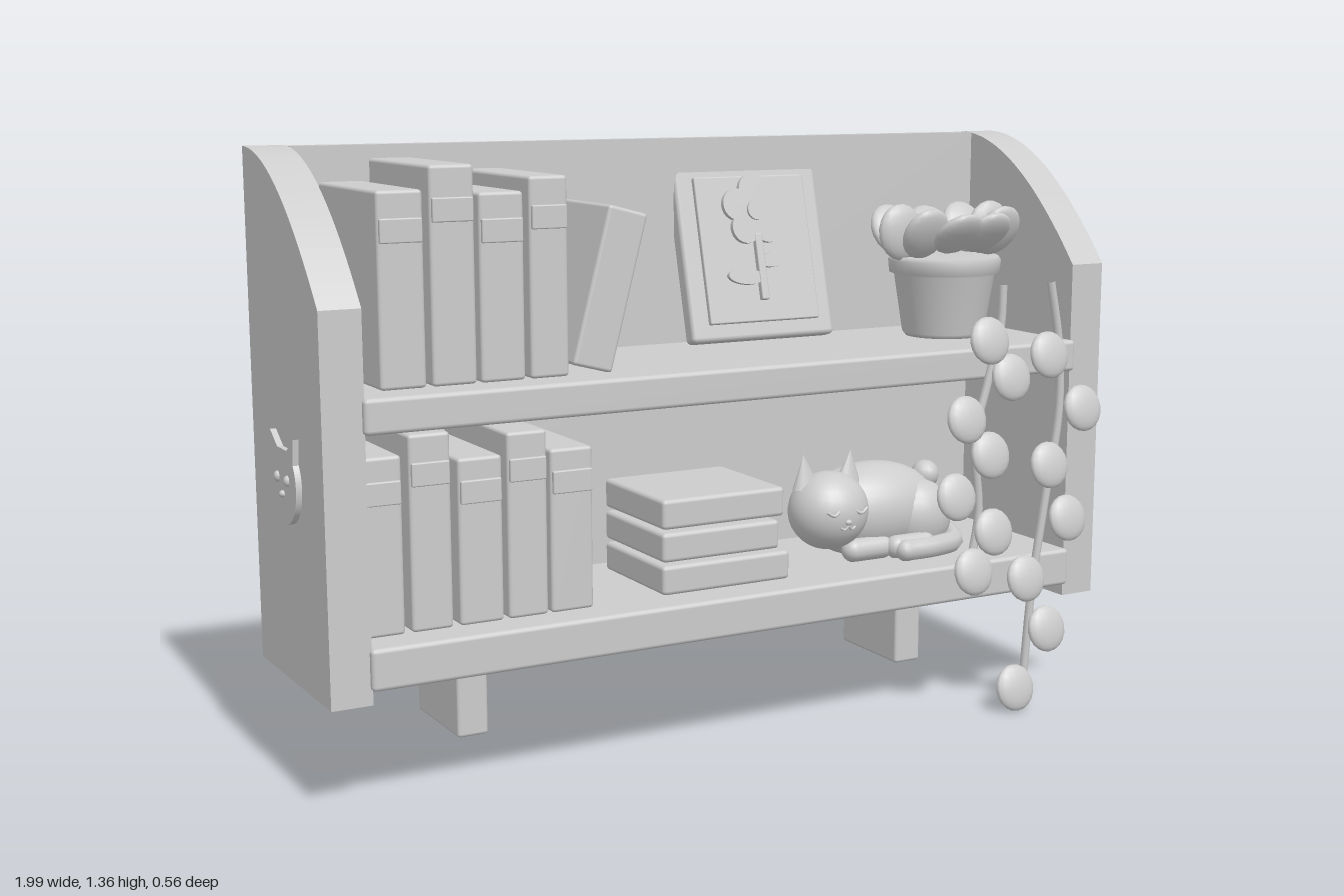
import * as THREE from 'three';
import { RoundedBoxGeometry } from 'three/addons/geometries/RoundedBoxGeometry.js';

export function createModel() {
  const root = new THREE.Group();
  const grey = new THREE.MeshStandardMaterial({ color: 0xcccccc });
  grey.name = 'plain grey';

  const add = (name, geo, parent = root, x = 0, y = 0, z = 0) => {
    const m = new THREE.Mesh(geo, grey);
    m.name = name;
    m.position.set(x, y, z);
    parent.add(m);
    return m;
  };
  const group = (name, parent = root) => {
    const g = new THREE.Group();
    g.name = name;
    parent.add(g);
    return g;
  };
  // rounded box given by its extents
  const box = (name, x0, x1, y0, y1, z0, z1, r = 0.008, parent = root) =>
    add(name, new RoundedBoxGeometry(x1 - x0, y1 - y0, z1 - z0, 2, r), parent,
      (x0 + x1) / 2, (y0 + y1) / 2, (z0 + z1) / 2);
  const blob = (name, parent, p, s, seg = 20) => {
    const m = add(name, new THREE.SphereGeometry(1, seg, Math.ceil(seg * 0.6)), parent, ...p);
    m.scale.set(...s);
    return m;
  };
  const tube = (name, parent, pts, r, seg = 32) =>
    add(name, new THREE.TubeGeometry(
      new THREE.CatmullRomCurve3(pts.map(p => new THREE.Vector3(...p))), seg, r, 8), parent);

  // side panels with a curved top front
  const side = new THREE.Shape();
  side.moveTo(-0.19, 0.25);
  side.lineTo(0.265, 0.25);
  side.lineTo(0.265, 1.368);
  side.quadraticCurveTo(0.05, 1.368, -0.19, 1.065);
  side.closePath();
  const sideGeo = new THREE.ExtrudeGeometry(side, { depth: 0.09, bevelEnabled: false, curveSegments: 24 });
  sideGeo.rotateY(Math.PI / 2);
  add('rightSidePanel', sideGeo, root, -0.97);
  add('leftSidePanel', sideGeo, root, 0.905);

  // back, shelves and legs
  add('backPanel', new THREE.BoxGeometry(1.785, 1.003, 0.04), root, 0.0125, 0.8655, -0.245);
  box('bottomShelf', -0.885, 0.91, 0.28, 0.37, -0.265, 0.205, 0.01);
  box('middleShelf', -0.885, 0.91, 0.81, 0.885, -0.24, 0.205, 0.01);
  for (const x of [-0.61, 0.558]) box('leg', x, x + 0.073, 0.07, 0.29, -0.262, -0.022);

  // upright books: left edge, width, top
  const bookRow = (y, books) => {
    for (const [x, w, top] of books) {
      const g = group('book');
      box('bookCover', x, x + w, y, top, -0.225, 0.125, 0.008, g);
      const ly = y + (top - y) * 0.8;
      box('spineLabel', x + 0.004, x + w - 0.004, ly - 0.025, ly + 0.025, 0.12, 0.132, 0.003, g);
    }
  };
  bookRow(0.885, [[-0.82, 0.1, 1.29], [-0.706, 0.098, 1.338], [-0.598, 0.1, 1.28], [-0.485, 0.088, 1.31]]);
  bookRow(0.37, [[-0.877, 0.096, 0.75], [-0.765, 0.092, 0.79], [-0.657, 0.1, 0.73],
    [-0.545, 0.092, 0.775], [-0.445, 0.1, 0.73]]);

  // leaning book
  const lean = group('leaningBook');
  lean.position.set(-0.385, 0.907, 0);
  lean.rotation.z = -0.26;
  box('bookCover', 0, 0.095, 0, 0.35, -0.225, 0.12, 0.008, lean);

  // stacked books
  [[0.16, 0.37, 0.437], [0.132, 0.445, 0.512], [0.145, 0.52, 0.588]].forEach(([x, y0, y1]) =>
    box('stackedBook', -0.17, x, y0, y1, -0.17, 0.12, 0.01));

  // picture frame leaning through the back
  const frame = group('pictureFrame');
  frame.position.set(0.24, 0.895, -0.125);
  frame.rotation.x = -0.25;
  box('frameBoard', -0.195, 0.195, 0, 0.455, -0.045, 0, 0.012, frame);
  box('picturePanel', -0.15, 0.15, 0.04, 0.39, -0.01, 0.012, 0.004, frame);
  const disc = (name, x, y, rx, ry, z, rz = 0) => {
    const g = new THREE.CylinderGeometry(1, 1, 0.014, 24);
    g.rotateX(Math.PI / 2);
    const m = add(name, g, frame, x, y, z);
    m.scale.set(rx, ry, 1);
    m.rotation.z = rz;
  };
  for (let i = 0; i < 5; i++) {
    const a = Math.PI / 2 + i * Math.PI * 0.4;
    disc('flowerPetal', Math.cos(a) * 0.05, 0.305 + Math.sin(a) * 0.05, 0.038, 0.038, 0.017);
  }
  disc('flowerCentre', 0, 0.305, 0.024, 0.024, 0.024);
  disc('flowerLeaf', -0.045, 0.148, 0.048, 0.019, 0.016, -0.1);
  disc('flowerLeaf', 0.045, 0.188, 0.046, 0.019, 0.016, 0.2);
  box('flowerStem', -0.01, 0.01, 0.09, 0.25, 0.008, 0.026, 0.004, frame);

  // potted plant
  const plant = group('pottedPlant');
  plant.position.set(0.695, 0.885, -0.04);
  add('pot', new THREE.LatheGeometry([[0, 0], [0.092, 0], [0.1, 0.01], [0.122, 0.15], [0.134, 0.155],
    [0.137, 0.185], [0.13, 0.195], [0, 0.195]].map(p => new THREE.Vector2(...p)), 32), plant);
  for (let i = 0; i < 10; i++) {
    const a = i * Math.PI / 5, c = Math.cos(a), s = Math.sin(a);
    const leaf = blob('plantLeaf', plant, [c * 0.13, 0.255, s * 0.115], [0.062, 0.068, 0.023], 16);
    leaf.rotation.set(s * 0.85, 0, -c * 0.2);
  }

  // trailing vines
  const vines = group('trailingVines');
  tube('vineStem', vines, [[0.66, 1.035, 0.24], [0.655, 0.93, 0.24], [0.62, 0.8, 0.24],
    [0.59, 0.68, 0.24], [0.605, 0.5, 0.24], [0.58, 0.36, 0.24]], 0.01);
  tube('vineStem', vines, [[0.8, 1.035, 0.24], [0.83, 0.88, 0.24], [0.835, 0.72, 0.24],
    [0.8, 0.5, 0.24], [0.77, 0.3, 0.24], [0.752, 0.09, 0.24]], 0.01);
  const vineLeaves = [[0.61, 0.91], [0.675, 0.82], [0.785, 0.865], [0.55, 0.73], [0.89, 0.73],
    [0.62, 0.64], [0.795, 0.6], [0.525, 0.55], [0.635, 0.455], [0.855, 0.465], [0.58, 0.365],
    [0.735, 0.33], [0.802, 0.197], [0.712, 0.062]];
  for (const [x, y] of vineLeaves)
    blob('vineLeaf', vines, [x, y, 0.26], [0.054, 0.056, 0.019], 16).rotation.x = -0.25;

  // sleeping cat
  const cat = group('cat');
  blob('catBody', cat, [0.465, 0.48, -0.01], [0.185, 0.115, 0.11], 28);
  blob('catHaunch', cat, [0.57, 0.46, 0.04], [0.09, 0.09, 0.07]);
  blob('catHead', cat, [0.308, 0.503, 0.05], [0.098, 0.093, 0.09], 28);
  for (const s of [-1, 1]) {
    const ear = add('catEar', new THREE.ConeGeometry(0.035, 0.08, 16), cat, 0.31 + s * 0.062, 0.6, 0.04);
    ear.rotation.z = -s * 0.1;
    ear.scale.z = 0.6;
    const ex = 0.308 + s * 0.037;
    tube('closedEye', cat, [[ex - 0.018, 0.518, 0.132], [ex, 0.508, 0.136], [ex + 0.018, 0.518, 0.132]], 0.004, 10);
    tube('catMouth', cat, [[0.308, 0.482, 0.14], [0.308 + s * 0.01, 0.473, 0.138],
      [0.308 + s * 0.02, 0.478, 0.136]], 0.003, 8);
  }
  blob('catNose', cat, [0.308, 0.49, 0.139], [0.009, 0.007, 0.006], 10);
  for (const [x, z] of [[0.4, 0.08], [0.51, 0.1]]) {
    const paw = add('catPaw', new THREE.CapsuleGeometry(0.028, 0.08, 6, 14), cat, x, 0.405, z);
    paw.rotation.z = Math.PI / 2;
  }
  tube('catTail', cat, [[0.61, 0.47, -0.05], [0.66, 0.42, 0], [0.65, 0.4, 0.08], [0.57, 0.4, 0.12],
    [0.48, 0.4, 0.125]], 0.026, 28);
  blob('tailTip', cat, [0.48, 0.4, 0.125], [0.026, 0.026, 0.026], 12);
  blob('catRump', cat, [0.62, 0.55, 0], [0.035, 0.035, 0.035], 14);

  // cat face ornament on the right side
  const face = new THREE.Shape();
  face.absarc(0, 0, 0.085, Math.PI * 0.8, Math.PI * 2.2, false);
  face.lineTo(0.075, 0.105);
  face.lineTo(0.03, 0.075);
  face.lineTo(-0.03, 0.075);
  face.lineTo(-0.075, 0.105);
  face.closePath();
  const faceGeo = new THREE.ExtrudeGeometry(face, { depth: 0.014, bevelEnabled: false, curveSegments: 32 });
  faceGeo.rotateY(-Math.PI / 2);
  const ornament = group('catFaceOrnament');
  ornament.position.set(-0.969, 0.682, -0.03);
  add('ornamentFace', faceGeo, ornament);
  for (const z of [-0.032, 0.032])
    blob('ornamentEye', ornament, [-0.014, 0.012, z], [0.009, 0.012, 0.011], 12);
  blob('ornamentNose', ornament, [-0.014, -0.02, 0], [0.009, 0.008, 0.01], 12);

  return root;
}
